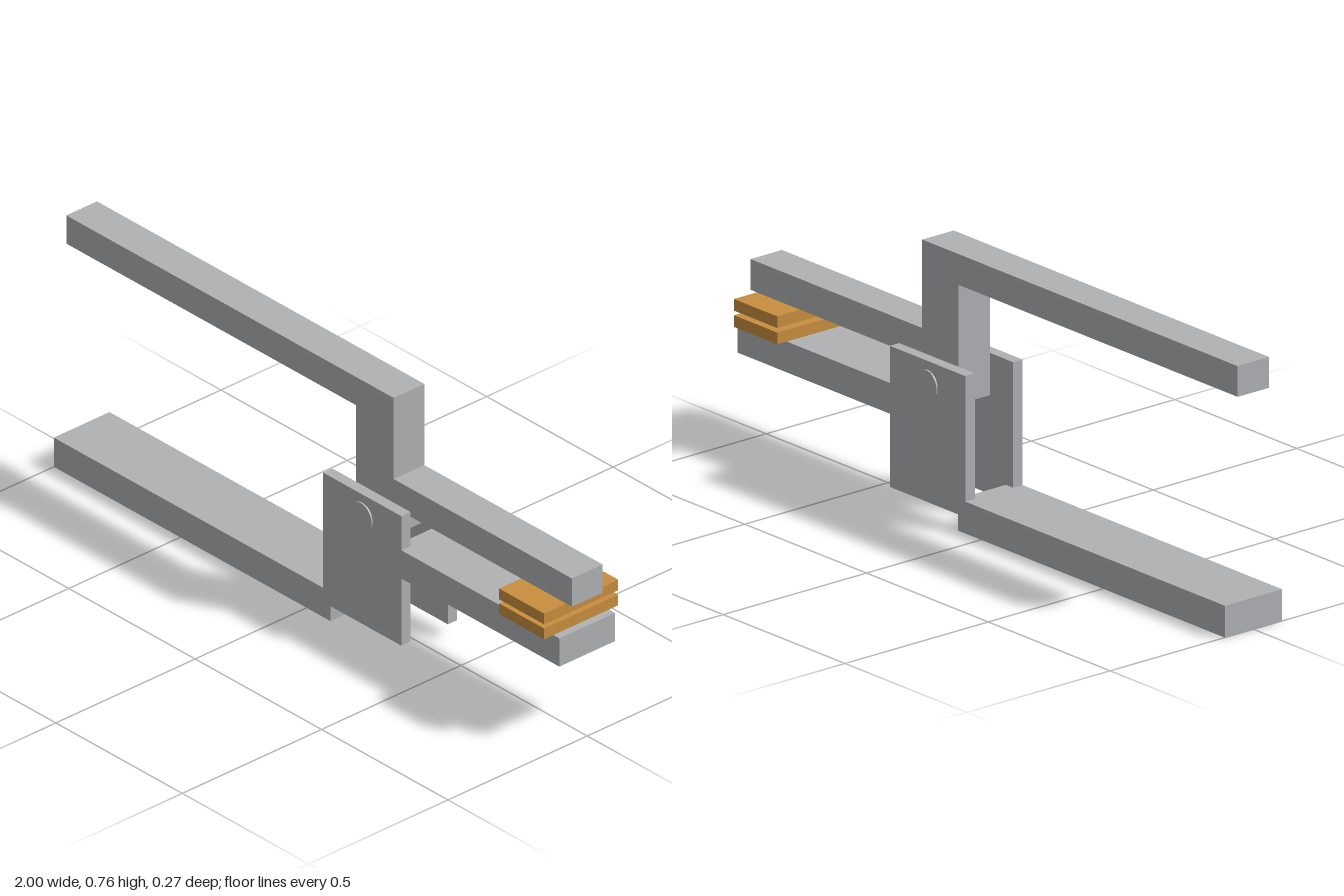
import * as THREE from 'three';

export function createModel() {
  const model = new THREE.Group();
  model.name = 'hingedClamp';

  const steel = new THREE.MeshStandardMaterial({ color: 0xafb1b4 });
  steel.name = 'grey steel';
  const copper = new THREE.MeshStandardMaterial({ color: 0xc88f3e });
  copper.name = 'copper';

  function add(parent, name, geometry, material) {
    const mesh = new THREE.Mesh(geometry, material);
    mesh.name = name;
    parent.add(mesh);
    return mesh;
  }

  // Box given by its limits on each axis
  function block(parent, name, [x0, x1], [y0, y1], [z0, z1], material) {
    const mesh = add(parent, name, new THREE.BoxGeometry(x1 - x0, y1 - y0, z1 - z0), material);
    mesh.position.set((x0 + x1) / 2, (y0 + y1) / 2, (z0 + z1) / 2);
    return mesh;
  }

  // Upper lever: handle, post with pivot lug, and jaw cut from one bar
  const upper = new THREE.Group();
  upper.name = 'upperLever';
  model.add(upper);
  const outline = new THREE.Shape([
    [-1, 0.67], [0.145, 0.67], [0.145, 0.333], [0.295, 0.333], [0.295, 0.42],
    [1, 0.42], [1, 0.507], [0.295, 0.507], [0.295, 0.757], [-1, 0.757],
  ].map(([x, y]) => new THREE.Vector2(x, y)));
  const bar = new THREE.ExtrudeGeometry(outline, { depth: 0.11, bevelEnabled: false });
  bar.translate(0, 0, -0.055);
  add(upper, 'upperLeverBar', bar, steel);

  // Lower lever: handle and jaw joined by two cheek plates
  const lower = new THREE.Group();
  lower.name = 'lowerLever';
  model.add(lower);
  block(lower, 'lowerHandle', [-1, 0.095], [0, 0.09], [-0.1, 0.1], steel);
  block(lower, 'lowerJaw', [0.345, 1], [0.253, 0.34], [-0.1, 0.1], steel);
  block(lower, 'frontCheekPlate', [0.065, 0.375], [0.046, 0.445], [0.067, 0.1], steel);
  block(lower, 'backCheekPlate', [0.065, 0.375], [0.046, 0.445], [-0.1, -0.067], steel);

  // Pivot pin, slightly proud of both cheeks
  const pin = add(model, 'pivotPin', new THREE.CylinderGeometry(0.042, 0.042, 0.21, 40), steel);
  pin.rotation.x = Math.PI / 2;
  pin.position.set(0.22, 0.378, 0);

  // Contact pads facing each other between the jaws
  block(upper, 'upperPad', [0.798, 0.976], [0.386, 0.419], [-0.133, 0.133], copper);
  block(lower, 'lowerPad', [0.798, 0.976], [0.34, 0.373], [-0.133, 0.133], copper);

  return model;
}
